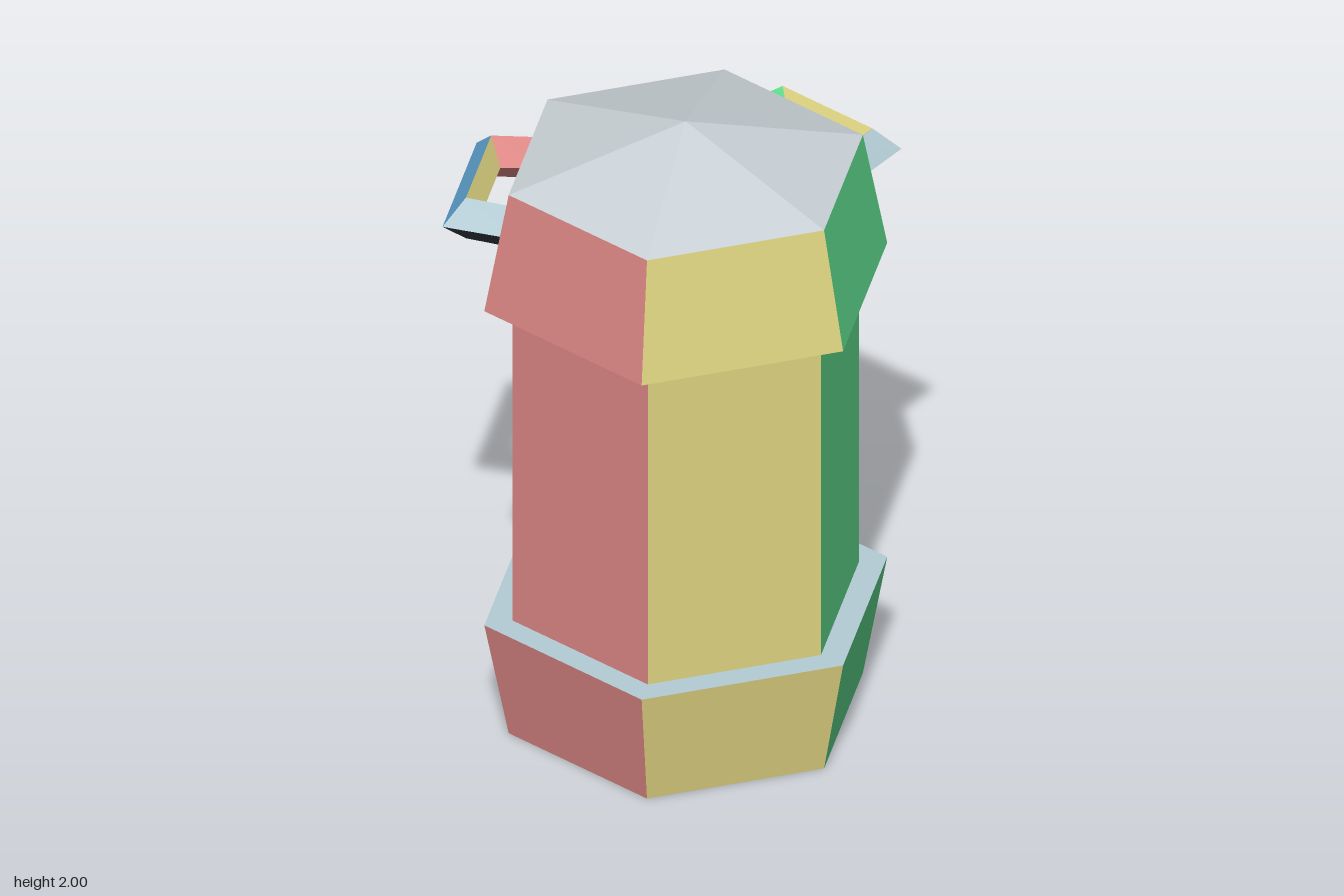
import * as THREE from 'three';

const paint = (name, color) => Object.assign(new THREE.MeshStandardMaterial({ color }), { name });

export function createModel() {
  const red = paint('red', 0xdc8785);
  const green = paint('green', 0x60de90);
  const yellow = paint('yellow', 0xdfd482);
  const blue = paint('blue', 0x62aadb);
  const grey = paint('roof grey', 0xcad2d7);
  const pale = paint('pale blue grey', 0xb4ccd5);
  const dark = paint('dark slate', 0x343944);

  const model = new THREE.Group();
  model.name = 'hexagonalCanister';

  const add = (name, geometry, material, parent = model) => {
    const mesh = new THREE.Mesh(geometry, material);
    mesh.name = name;
    parent.add(mesh);
    return mesh;
  };
  const flat = (geometry) => {
    const g = geometry.toNonIndexed();
    g.computeVertexNormals();
    return g;
  };

  // Six-sided wall with a colour for each side, starting at the +x corner
  const sideColours = [green, blue, red, red, yellow, green];
  const wall = (name, y0, r0, y1, r1) => {
    const g = flat(new THREE.CylinderGeometry(r1, r0, y1 - y0, 6, 1, true, Math.PI / 2));
    g.clearGroups();
    for (let i = 0; i < 6; i++) g.addGroup(i * 6, 6, i);
    add(name, g, sideColours).position.y = (y0 + y1) / 2;
  };
  wall('base', 0, 0.545, 0.385, 0.62);
  wall('body', 0.385, 0.533, 1.465, 0.533);
  wall('cap', 1.465, 0.62, 1.85, 0.545);

  // Low pyramid roof
  const roof = flat(new THREE.CylinderGeometry(0, 0.545, 0.15, 6, 1, true, Math.PI / 2));
  add('roof', roof, grey).position.y = 1.925;

  // Ledges and underside
  const ledge = (name, y, geometry, up, material) => {
    const mesh = add(name, geometry.rotateX(up ? -Math.PI / 2 : Math.PI / 2), material);
    mesh.position.y = y;
  };
  ledge('baseLedge', 0.385, new THREE.RingGeometry(0.533, 0.62, 6), true, pale);
  ledge('capUnderside', 1.465, new THREE.RingGeometry(0.533, 0.62, 6), false, dark);
  ledge('baseUnderside', 0, new THREE.CircleGeometry(0.545, 6), false, dark);

  // Handles: a diamond section with mitred corners, on the two rear side faces.
  // Each edge is [distance out from the centre, half length, height]
  const edges = [[0.677, 0.24, 1.695], [0.62, 0.177, 1.765], [0.58, 0.117, 1.695], [0.62, 0.177, 1.625]];
  const cos = Math.cos(Math.PI / 6), sin = 0.5;
  const handle = (name, s) => {
    const point = (n, t, y) => [s * (n * cos + t * sin), y, -n * sin + t * cos];
    // rear arm end, rear corner, front corner, front arm end
    const stations = [
      edges.map(([, t, y]) => point(0.45, -t - 0.025, y)),
      edges.map(([n, t, y]) => point(n, -t, y)),
      edges.map(([n, t, y]) => point(n, t, y)),
      edges.map(([, t, y]) => point(0.45, t + 0.025, y)),
    ];
    const rearInner = s > 0 ? green : red, frontInner = s > 0 ? red : green;
    const colours = [
      [pale, rearInner, rearInner, dark],
      [blue, yellow, yellow, blue],
      [pale, frontInner, frontInner, dark],
    ];
    const positions = [];
    const g = new THREE.BufferGeometry();
    colours.forEach((row, i) => row.forEach((_, e) => {
      const f = (e + 1) % 4;
      const quad = [stations[i][e], stations[i][f], stations[i + 1][f], stations[i + 1][e]];
      if (s < 0) quad.reverse();
      g.addGroup(positions.length / 3, 6, i * 4 + e);
      [0, 1, 2, 0, 2, 3].forEach((k) => positions.push(...quad[k]));
    }));
    g.setAttribute('position', new THREE.Float32BufferAttribute(positions, 3));
    g.computeVertexNormals();
    add(name, g, colours.flat());
  };
  handle('leftHandle', 1);
  handle('rightHandle', -1);

  return model;
}
